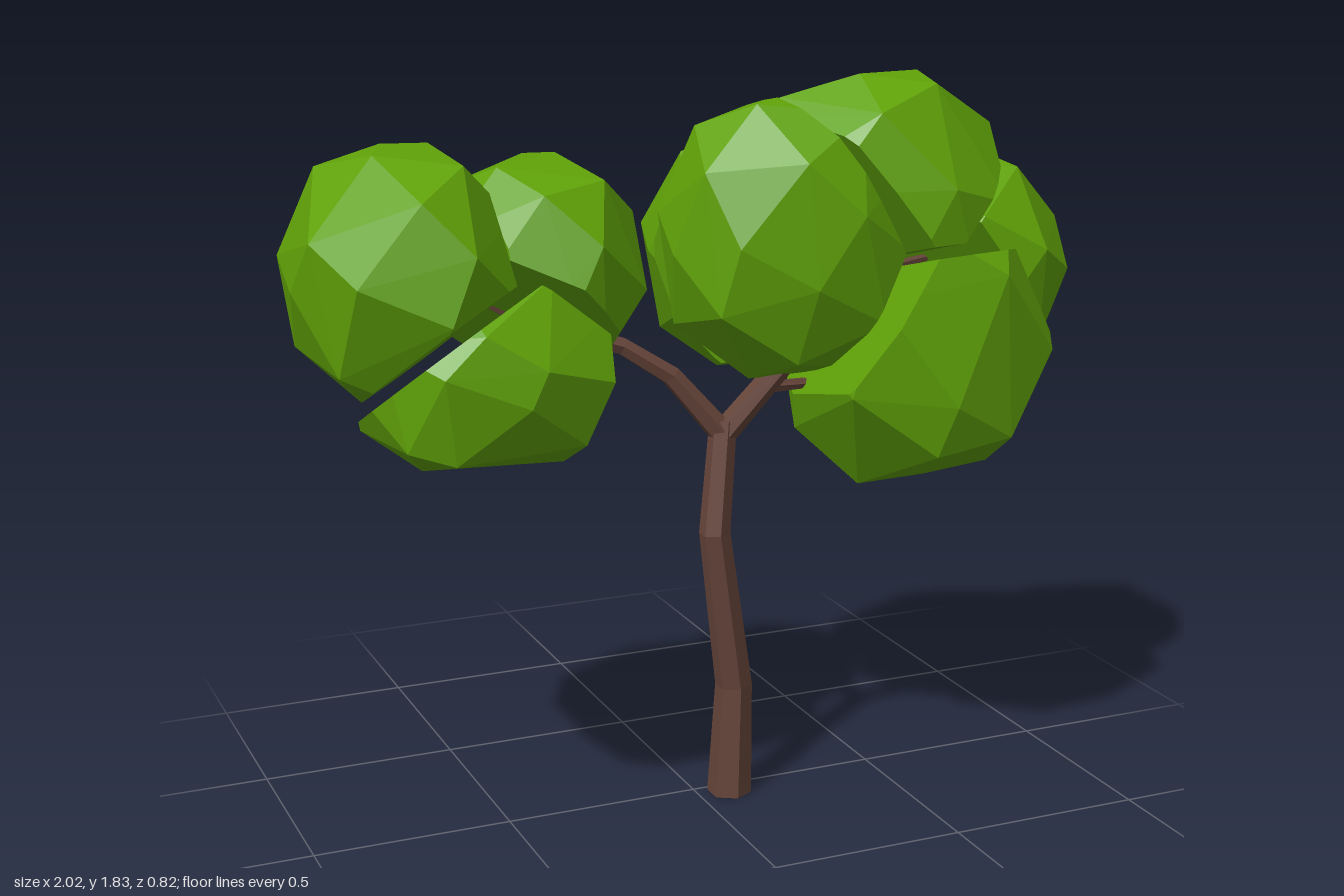
import * as THREE from 'three';
import { ConvexGeometry } from 'three/addons/geometries/ConvexGeometry.js';

const V = (a) => new THREE.Vector3(...a);
const bark = new THREE.MeshStandardMaterial({ color: 0x66453a, flatShading: true });
const leaf = new THREE.MeshStandardMaterial({ color: 0x60a208, flatShading: true });

// Small seeded random, -0.5 to 0.5
let seed = 7;
const rand = () => ((seed = (seed * 16807) % 2147483647) / 2147483647) - 0.5;

// Tapered six-sided limb through [x, y, z, radius] stations
function limb(name, stations) {
  const n = stations.length - 1;
  const points = stations.map((s) => V(s.slice(0, 3)));
  const turns = points.map((p, i) => {
    const dir = points[Math.min(i + 1, n)].clone().sub(points[Math.max(i - 1, 0)]).normalize();
    if (i === 0 && p.y === 0) dir.set(0, 1, 0);
    return new THREE.Quaternion().setFromUnitVectors(new THREE.Vector3(0, 1, 0), dir);
  });
  const geo = new THREE.CylinderGeometry(1, 1, 1, 6, n);
  const pos = geo.attributes.position;
  for (let i = 0; i < pos.count; i++) {
    const v = new THREE.Vector3().fromBufferAttribute(pos, i);
    const k = Math.round((v.y + 0.5) * n);
    v.setY(0).multiplyScalar(stations[k][3]).applyQuaternion(turns[k]).add(points[k]);
    pos.setXYZ(i, v.x, v.y, v.z);
  }
  geo.computeVertexNormals();
  const mesh = new THREE.Mesh(geo, bark);
  mesh.name = name;
  return mesh;
}

// Corners of a slightly boxy, faceted ellipsoid, spread on an uneven spiral
function blobPoints({ c, r }, count = 32, power = 2.5) {
  return Array.from({ length: count }, (_, i) => {
    const y = 1 - (2 * (i + 0.5)) / count;
    const a = i * 2.39996;
    const s = Math.sqrt(1 - y * y);
    const p = new THREE.Vector3(s * Math.cos(a), y, s * Math.sin(a));
    p.add(new THREE.Vector3(rand(), rand(), rand()).multiplyScalar(0.25));
    const size = p.toArray().reduce((sum, n) => sum + Math.abs(n) ** power, 0) ** (1 / power);
    return p.divideScalar(size).multiply(V(r)).add(V(c));
  });
}

// Corner points of a convex hull without repeats
function hullCorners(points) {
  const pos = new ConvexGeometry(points).attributes.position;
  const unique = new Map();
  for (let i = 0; i < pos.count; i++) {
    const v = new THREE.Vector3().fromBufferAttribute(pos, i);
    unique.set(v.toArray().map((n) => n.toFixed(4)).join(), v);
  }
  return [...unique.values()];
}

// Keep the part of a convex body behind a plane
function clip(points, normal, at) {
  const plane = new THREE.Plane().setFromNormalAndCoplanarPoint(normal, at);
  const inside = points.filter((p) => plane.distanceToPoint(p) <= 0);
  const outside = points.filter((p) => plane.distanceToPoint(p) > 0);
  if (!outside.length) return points;
  const kept = [...inside];
  for (const a of inside) {
    for (const b of outside) {
      const da = -plane.distanceToPoint(a);
      const db = plane.distanceToPoint(b);
      kept.push(a.clone().lerp(b, da / (da + db)));
    }
  }
  return hullCorners(kept);
}

// Clumps cut apart by flat seams; a seam is [clump, clump, point, normal from first to second]
function foliage(name, clumps, seams, gap = 0.015) {
  const group = new THREE.Group();
  group.name = name;
  const bodies = {};
  for (const [key, clump] of Object.entries(clumps)) bodies[key] = blobPoints(clump);
  for (const [a, b, at, n] of seams) {
    const dir = V(n).normalize();
    bodies[a] = clip(bodies[a], dir, V(at).addScaledVector(dir, -gap));
    bodies[b] = clip(bodies[b], dir.clone().negate(), V(at).addScaledVector(dir, gap));
  }
  for (const [key, points] of Object.entries(bodies)) {
    const mesh = new THREE.Mesh(new ConvexGeometry(points), leaf);
    mesh.name = `${key}Clump`;
    group.add(mesh);
  }
  return group;
}

export function createModel() {
  seed = 7;
  const tree = new THREE.Group();
  tree.name = 'tree';

  // Trunk and the two main branches
  tree.add(
    limb('trunk', [[0.083, 0, 0.042, 0.057], [0.088, 0.3, 0.055, 0.047], [0.02, 0.72, 0.088, 0.039], [0.05, 1.0, 0.07, 0.034]]),
    limb('rightBranch', [[0.045, 0.97, 0.07, 0.033], [-0.08, 1.12, 0.05, 0.026], [-0.2, 1.2, 0.03, 0.023], [-0.42, 1.27, 0.02, 0.02], [-0.58, 1.36, -0.02, 0.014], [-0.72, 1.45, 0, 0.005]]),
    limb('leftBranch', [[0.045, 0.96, 0.07, 0.033], [0.2, 1.16, 0.13, 0.028], [0.41, 1.39, 0.18, 0.023], [0.5, 1.55, 0.05, 0.008]]),
  );

  // Thin side twigs reaching into the clumps
  const twigs = [
    [[-0.42, 1.27, 0.02, 0.016], [-0.55, 1.28, -0.17, 0.012], [-0.7, 1.4, -0.3, 0.003]],
    [[-0.42, 1.27, 0.02, 0.016], [-0.52, 1.16, 0.1, 0.012], [-0.66, 1.06, 0.2, 0.003]],
    [[0.2, 1.16, 0.12, 0.018], [0.2, 1.25, -0.1, 0.014], [0.22, 1.35, -0.25, 0.004]],
    [[0.38, 1.36, 0.16, 0.018], [0.55, 1.34, 0.02, 0.014], [0.8, 1.36, -0.05, 0.004]],
    [[0.13, 1.08, 0.1, 0.018], [0.28, 1.07, 0.06, 0.014], [0.5, 1.08, 0.08, 0.004]],
  ];
  twigs.forEach((t, i) => tree.add(limb(`twig${i + 1}`, t)));

  // Leaf clumps (centre, half sizes) and the seams between them
  tree.add(
    foliage('leftCrown', {
      inner: { c: [0.21, 1.45, 0.1], r: [0.32, 0.35, 0.24] },
      top: { c: [0.46, 1.5, 0.04], r: [0.34, 0.34, 0.3] },
      low: { c: [0.56, 1.23, 0.08], r: [0.34, 0.45, 0.33] },
      outer: { c: [0.73, 1.33, -0.04], r: [0.28, 0.29, 0.3] },
      back: { c: [0.26, 1.38, -0.16], r: [0.31, 0.31, 0.25] },
    }, [
      ['inner', 'top', [0.3, 1.6, 0.14], [0.82, 0.52, -0.27]],
      ['inner', 'low', [0.33, 1.2, 0.1], [0.86, -0.51, 0]],
      ['inner', 'back', [0.1, 1.4, -0.1], [0.2, 0, -0.98]],
      ['top', 'low', [0.55, 1.4, 0.22], [0.05, -0.96, 0.25]],
      ['top', 'outer', [0.73, 1.53, 0.05], [0.72, -0.65, 0.15]],
      ['top', 'back', [0.35, 1.61, -0.18], [-0.25, -0.6, -0.75]],
      ['low', 'outer', [0.77, 1.2, 0.1], [0.78, 0.52, -0.35]],
      ['low', 'back', [0.4, 1.15, -0.1], [-0.5, 0.25, -0.83]],
      ['back', 'outer', [0.55, 1.35, -0.25], [0.97, 0, 0.2]],
    ]),
    foliage('rightCrown', {
      outer: { c: [-0.75, 1.42, 0.05], r: [0.26, 0.3, 0.36] },
      inner: { c: [-0.41, 1.39, -0.04], r: [0.26, 0.28, 0.32] },
      low: { c: [-0.58, 1.2, 0.11], r: [0.31, 0.25, 0.3] },
    }, [
      ['outer', 'inner', [-0.6, 1.45, 0], [0.975, 0, -0.22]],
      ['outer', 'low', [-0.75, 1.28, 0.3], [0.5, -0.8, 0.35]],
      ['inner', 'low', [-0.35, 1.27, 0.15], [-0.5, -0.7, 0.45]],
    ]),
  );
  return tree;
}
